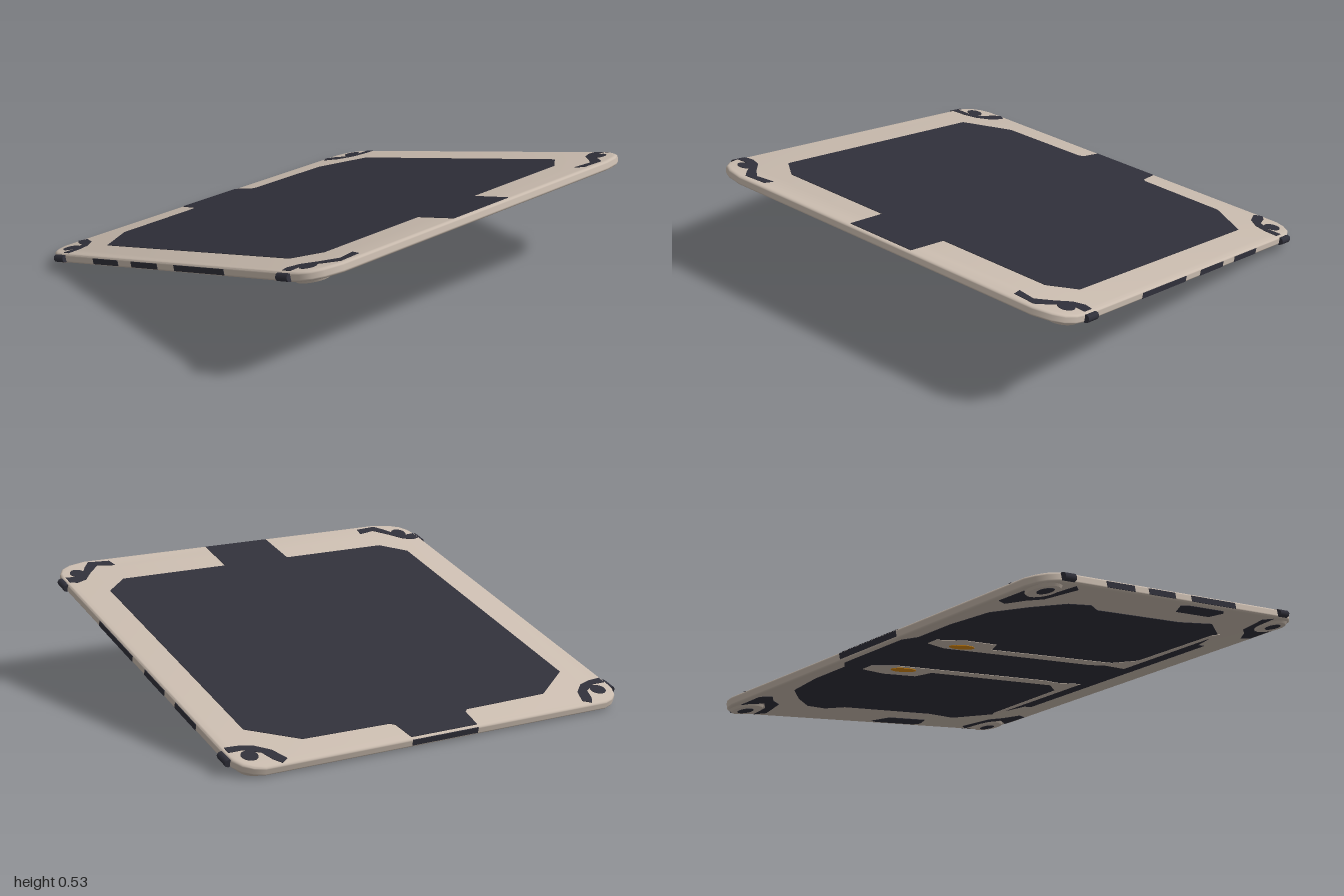
import * as THREE from 'three';
import { toCreasedNormals } from 'three/addons/utils/BufferGeometryUtils.js';

const material = (name, color) => {
  const m = new THREE.MeshStandardMaterial({ color });
  m.name = name;
  return m;
};

export function createModel() {
  const beige = material('beige', 0xc9bbae);
  const dark = material('charcoal', 0x30303a);
  const amber = material('amber', 0xd98a10);

  const root = new THREE.Group();
  root.name = 'tiltedPanel';
  const panel = new THREE.Group();
  panel.name = 'panel';
  panel.rotation.x = -0.2618; // front edge raised
  panel.position.y = 0.262;
  root.add(panel);

  const TOP = 0.022, BOTTOM = -0.022;

  function add(name, geometry, mat, x = 0, y = 0, z = 0) {
    const mesh = new THREE.Mesh(geometry, mat);
    mesh.name = name;
    mesh.position.set(x, y, z);
    panel.add(mesh);
    return mesh;
  }
  const flip = (pts) => pts.map(([x, z]) => [-x, z]);
  // closes a right-hand half outline by mirroring it across x = 0
  const whole = (pts) => [...pts, ...flip(pts).reverse()];
  const shapeOf = (pts) => new THREE.Shape(pts.map(([x, z]) => new THREE.Vector2(x, z)));

  // flat plate with outline in x and z, its upper face at yTop
  function plate(name, pts, mat, yTop, depth = 0.004) {
    const g = new THREE.ExtrudeGeometry(shapeOf(pts), { depth, bevelEnabled: false });
    g.rotateX(Math.PI / 2);
    return add(name, g, mat, 0, yTop, 0);
  }
  function platePair(name, pts, mat, yTop, depth) {
    plate(name + 'Left', pts, mat, yTop, depth);
    plate(name + 'Right', flip(pts), mat, yTop, depth);
  }

  // main slab with rounded rim
  const outline = whole([
    [0.865, -0.927], [0.905, -0.912], [0.937, -0.885], [0.957, -0.845], [0.962, -0.8],
    [0.962, 0.8], [0.953, 0.845], [0.93, 0.882], [0.89, 0.907], [0.81, 0.927],
  ]);
  const slab = new THREE.ExtrudeGeometry(shapeOf(outline), {
    depth: 0.02, bevelEnabled: true, bevelThickness: 0.012, bevelSize: 0.018, bevelSegments: 4,
  });
  slab.rotateX(Math.PI / 2);
  slab.translate(0, 0.01, 0);
  add('body', toCreasedNormals(slab, 0.7), beige);

  // upper dark field with front and back tabs
  plate('topField', whole([
    [0.168, -0.93], [0.18, -0.823], [0.2, -0.808], [0.62, -0.8], [0.82, -0.657],
    [0.82, 0.626], [0.71, 0.72], [0.172, 0.72], [0.168, 0.93],
  ]), dark, TOP + 0.002);
  add('backTabEdge', new THREE.BoxGeometry(0.336, 0.026, 0.03), dark, 0, 0.003, -0.9315);

  // lower dark field
  plate('bottomField', whole([
    [0.17, -0.92], [0.22, -0.87], [0.4, -0.87], [0.58, -0.83], [0.69, -0.7], [0.78, -0.56],
    [0.8, -0.43], [0.76, -0.34], [0.765, 0.25], [0.8, 0.46], [0.7, 0.65], [0.54, 0.72], [0.54, 0.77],
  ]), dark, BOTTOM + 0.002);

  // lower rails with splayed ends, and their amber pads
  platePair('bottomRail', [
    [0.135, 0.67], [0.7, 0.67], [0.68, 0.635], [0.26, 0.62], [0.19, 0.5], [0.18, -0.36],
    [0.245, -0.4], [0.25, -0.6], [0.22, -0.76], [0.17, -0.76], [0.135, -0.62],
    [0.135, 0.4], [0.15, 0.5],
  ], beige, BOTTOM, 0.004);
  for (const s of [-1, 1]) {
    const pad = new THREE.CylinderGeometry(0.026, 0.026, 0.004, 16);
    pad.scale(1, 1, 3);
    add('amberPad', pad, amber, s * 0.175, BOTTOM - 0.004, -0.55);
  }

  // lower side windows
  platePair('bottomSidePatch', [
    [0.87, 0.08], [0.94, 0.02], [0.952, 0.06], [0.952, 0.33], [0.93, 0.36], [0.87, 0.33],
  ], dark, BOTTOM + 0.002);

  // curved corner markings, top and bottom
  platePair('topBackMark', [
    [0.79, -0.935], [0.755, -0.91], [0.785, -0.835], [0.84, -0.785], [0.9, -0.765], [0.965, -0.76],
    [0.965, -0.8], [0.9, -0.8], [0.835, -0.84], [0.815, -0.9],
  ], dark, TOP + 0.002);
  platePair('topFrontMark', [
    [0.965, 0.75], [0.93, 0.74], [0.88, 0.76], [0.83, 0.82], [0.77, 0.88], [0.685, 0.862],
    [0.695, 0.91], [0.8, 0.92], [0.84, 0.87], [0.87, 0.82], [0.92, 0.795], [0.965, 0.8],
  ], dark, TOP + 0.002);
  const lowerMark = [
    [0.84, 0.915], [0.71, 0.92], [0.69, 0.86], [0.75, 0.8], [0.79, 0.73], [0.93, 0.68],
    [0.96, 0.73], [0.86, 0.75], [0.79, 0.82],
  ];
  platePair('bottomFrontMark', lowerMark, dark, BOTTOM + 0.002);
  platePair('bottomBackMark', lowerMark.map(([x, z]) => [x, -z]), dark, BOTTOM + 0.002);

  // corner fittings: lower boss, dark studs and side bumpers
  for (const s of [-1, 1]) {
    for (const [end, studZ, bumperZ] of [['front', 0.825, 0.775], ['back', -0.845, -0.805]]) {
      add(end + 'CornerBoss', new THREE.CylinderGeometry(0.082, 0.07, 0.016, 24), beige,
        s * 0.88, BOTTOM - 0.002, studZ);
      add(end + 'TopStud', new THREE.CylinderGeometry(0.037, 0.037, 0.004, 20), dark,
        s * 0.893, TOP, studZ);
      add(end + 'BottomStud', new THREE.CylinderGeometry(0.037, 0.037, 0.004, 20), dark,
        s * 0.89, BOTTOM - 0.01, studZ);
      const bumper = new THREE.CylinderGeometry(0.018, 0.018, 0.07, 8);
      bumper.rotateX(Math.PI / 2);
      add(end + 'Bumper', bumper, dark, s * 0.982, 0, bumperZ);
    }
    // dark inlays along the side edge
    for (const [z0, z1] of [[0.05, 0.39], [-0.26, -0.07], [-0.55, -0.36]]) {
      add('sideInlay', new THREE.BoxGeometry(0.006, 0.026, z1 - z0), dark,
        s * 0.979, -0.001, (z0 + z1) / 2);
    }
  }
  return root;
}
